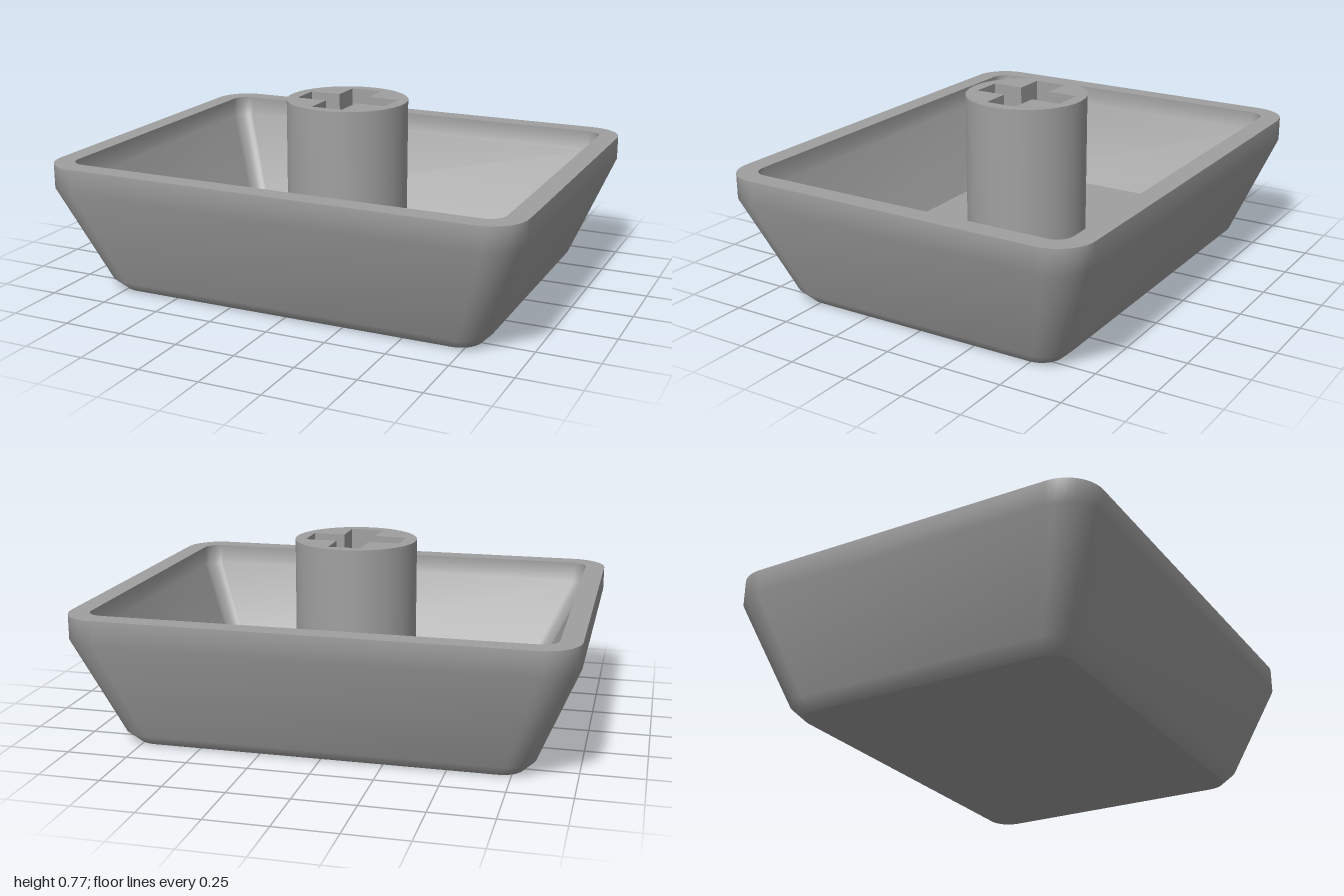
import * as THREE from 'three';
import { toCreasedNormals } from 'three/addons/utils/BufferGeometryUtils.js';

const CORNER_STEPS = 10;

// Rounded rectangle outline, counterclockwise: half width, half depth, corner radius
function outline(hx, hz, r) {
  const points = [];
  const corners = [[1, 1], [-1, 1], [-1, -1], [1, -1]];
  corners.forEach(([sx, sz], c) => {
    for (let i = 0; i <= CORNER_STEPS; i++) {
      const a = (c + i / CORNER_STEPS) * Math.PI / 2;
      points.push(new THREE.Vector2(sx * (hx - r) + r * Math.cos(a), sz * (hz - r) + r * Math.sin(a)));
    }
  });
  return points;
}

// Smooth wall through a list of sections [half width, half depth, radius, y]
function wall(sections) {
  const positions = [], index = [];
  const n = 4 * (CORNER_STEPS + 1);
  for (const [hx, hz, r, y] of sections) {
    for (const p of outline(hx, hz, r)) positions.push(p.x, y, -p.y);
  }
  for (let i = 0; i < sections.length - 1; i++) {
    for (let j = 0; j < n; j++) {
      const a = i * n + j, b = i * n + (j + 1) % n;
      index.push(a, b, b + n, a, b + n, a + n);
    }
  }
  const geometry = new THREE.BufferGeometry();
  geometry.setAttribute('position', new THREE.Float32BufferAttribute(positions, 3));
  geometry.setIndex(index);
  geometry.computeVertexNormals();
  return geometry;
}

// Flat horizontal face at the height of a section
function plate([hx, hz, r, y], up, hole) {
  const shape = new THREE.Shape(outline(hx, hz, r));
  if (hole) shape.holes.push(new THREE.Path(outline(hole[0], hole[1], hole[2])));
  return new THREE.ShapeGeometry(shape).rotateX(up ? -Math.PI / 2 : Math.PI / 2).translate(0, y, 0);
}

export function createModel() {
  const group = new THREE.Group();
  const grey = new THREE.MeshStandardMaterial({ color: 0xa0a0a0 });
  grey.name = 'grey plastic';
  const add = (name, geometry) => {
    const mesh = new THREE.Mesh(geometry, grey);
    mesh.name = name;
    group.add(mesh);
  };

  const outer = [
    [0.79, 0.585, 0.09, 0],
    [0.837, 0.637, 0.12, 0.05],
    [1, 0.795, 0.15, 0.46],
    [1, 0.795, 0.15, 0.56],
  ];
  const inner = [
    [0.917, 0.709, 0.068, 0.56],
    [0.917, 0.709, 0.068, 0.47],
    [0.747, 0.545, 0.06, 0.13],
  ];

  // Hollow tapered shell
  add('outerWall', wall(outer));
  add('innerWall', wall(inner));
  add('bottomFace', plate(outer[0], false));
  add('rim', plate(outer[3], true, inner[0]));
  add('innerFloor', plate(inner[2], true));

  // Round stem with a cross-shaped socket
  const stem = new THREE.Shape().absarc(0, 0, 0.255, 0, Math.PI * 2);
  const L = 0.2, w = 0.068;
  const cross = [
    [L, w], [w, w], [w, L], [-w, L], [-w, w], [-L, w],
    [-L, -w], [-w, -w], [-w, -L], [w, -L], [w, -w], [L, -w],
  ].map(([x, y]) => new THREE.Vector2(x, y));
  stem.holes.push(new THREE.Path(cross));
  const stemGeometry = new THREE.ExtrudeGeometry(stem, { depth: 0.64, bevelEnabled: false, curveSegments: 48 });
  stemGeometry.rotateX(-Math.PI / 2).translate(0, 0.13, 0);
  add('stem', toCreasedNormals(stemGeometry, 0.5));

  return group;
}
